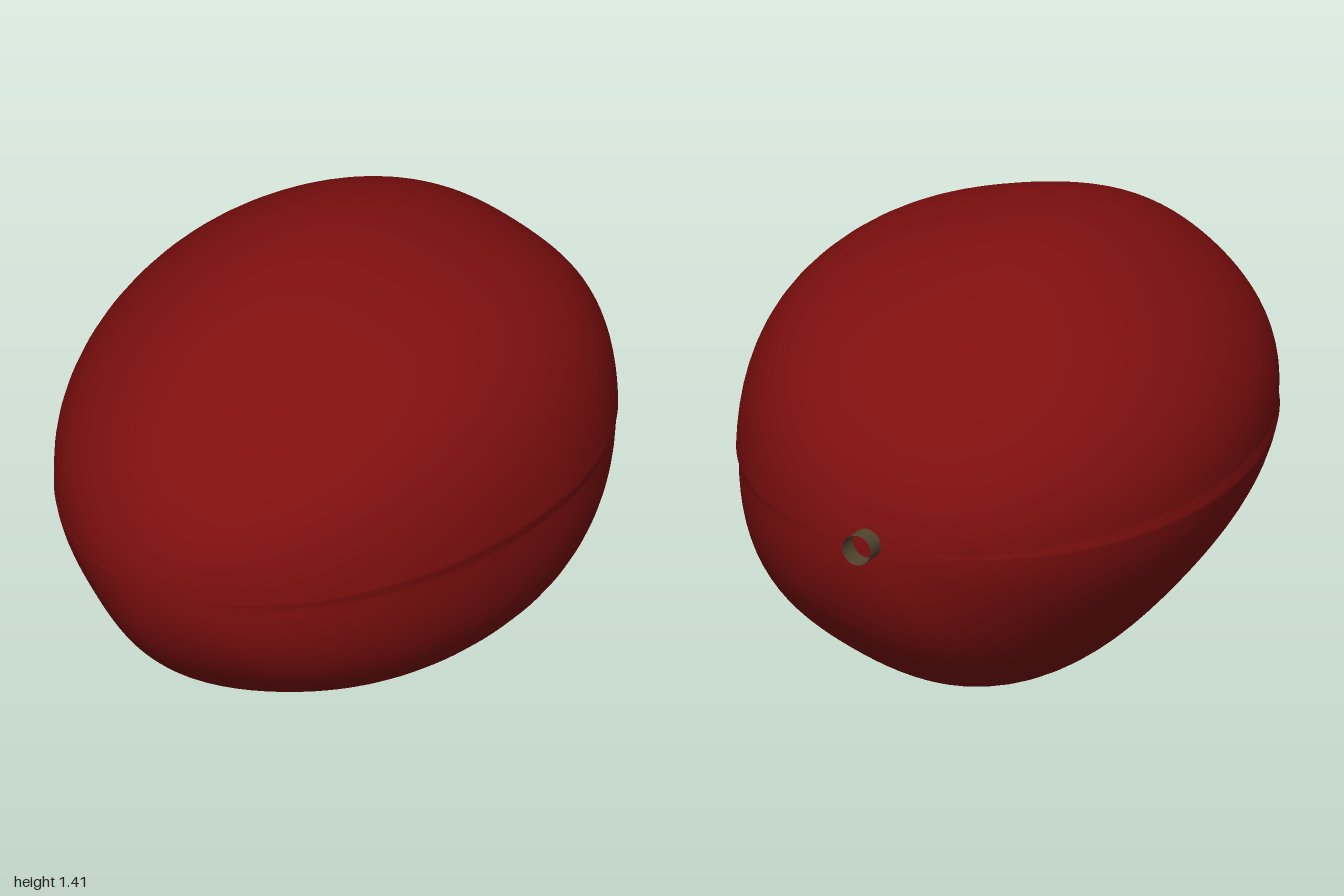
import * as THREE from 'three';
import { mergeVertices } from 'three/addons/utils/BufferGeometryUtils.js';

const CY = 0.72, FRONT = 1.0, BACK = 0.927;

// Widest cross-section, counter-clockwise from the +x side
const OUTLINE = [
  [0.76, 0.74], [0.755, 0.82], [0.7, 1.03], [0.59, 1.195], [0.41, 1.305], [0.21, 1.375], [-0.04, 1.41],
  [-0.22, 1.39], [-0.4, 1.315], [-0.605, 1.155], [-0.72, 0.97], [-0.763, 0.755],
  [-0.695, 0.55], [-0.565, 0.345], [-0.38, 0.137], [-0.22, 0.043], [-0.03, 0],
  [0.19, 0.035], [0.415, 0.13], [0.6, 0.25], [0.7, 0.395], [0.74, 0.56],
];

// Smooth radius as a function of angle: a few harmonics fitted to the outline
function makeRadius() {
  const curve = new THREE.CatmullRomCurve3(OUTLINE.map(([x, y]) => new THREE.Vector3(x, y - CY, 0)), true);
  const pts = curve.getPoints(600);
  const N = 6, A = new Array(N + 1).fill(0), B = new Array(N + 1).fill(0);
  for (let i = 0; i < 600; i++) {
    const p = pts[i], q = pts[i + 1];
    const da = Math.atan2(p.x * q.y - p.y * q.x, p.x * q.x + p.y * q.y);
    const mx = (p.x + q.x) / 2, my = (p.y + q.y) / 2;
    const a = Math.atan2(my, mx), r = Math.hypot(mx, my);
    for (let k = 0; k <= N; k++) {
      const w = (k ? 1 : 0.5) / Math.PI * r * da;
      A[k] += w * Math.cos(k * a);
      B[k] += w * Math.sin(k * a);
    }
  }
  return a => A.reduce((s, c, k) => s + c * Math.cos(k * a) + B[k] * Math.sin(k * a), 0);
}

function bodyGeometry() {
  const radius = makeRadius();
  // Angles around the z axis, with tight rows along the seam on both sides
  const angles = [];
  for (const start of [0, Math.PI]) {
    angles.push(start - 0.035, start - 0.018, start + 0.018, start + 0.035);
    for (let i = 1; i < 44; i++) angles.push(start + 0.035 + (Math.PI - 0.07) * i / 44);
  }
  const n = angles.length, rings = 72, pos = [], idx = [];
  for (let j = 0; j <= rings; j++) {
    const t = Math.PI * j / rings, c = Math.cos(t), s = j % rings ? Math.sin(t) : 0;
    for (const a of angles) {
      // The widest point sits further back on the lower +x side
      const mid = -0.03 * (1 + Math.cos(a + Math.PI / 4));
      const z = mid + c * (c > 0 ? FRONT - mid : BACK + mid);
      // The upper half slips slightly towards +x, leaving a fine ledge at the seam
      const slip = 0.005 * Math.sign(Math.sin(a)) * Math.pow(Math.cos(a), 2);
      const r = radius(a);
      pos.push(s * (r * Math.cos(a) + slip), CY + s * r * Math.sin(a), z);
    }
  }
  for (let j = 0; j < rings; j++) {
    for (let i = 0; i < n; i++) {
      const k = (i + 1) % n, a = j * n + i, b = j * n + k, c = a + n, d = b + n;
      if (j > 0) idx.push(a, c, b);
      if (j < rings - 1) idx.push(b, c, d);
    }
  }
  let geo = new THREE.BufferGeometry();
  geo.setAttribute('position', new THREE.Float32BufferAttribute(pos, 3));
  geo.setIndex(idx);
  geo = mergeVertices(geo, 1e-5);
  geo.computeVertexNormals();
  return geo;
}

export function createModel() {
  const red = new THREE.MeshStandardMaterial({ color: 0x800f0f });
  red.name = 'deepRed';
  const brown = new THREE.MeshStandardMaterial({ color: 0x54452f, side: THREE.DoubleSide });
  brown.name = 'stemBrown';

  const group = new THREE.Group();
  group.name = 'fruit';

  const body = new THREE.Mesh(bodyGeometry(), red);
  body.name = 'body';
  group.add(body);

  // Short hollow stem at the back, tilted slightly upwards
  const stem = new THREE.Mesh(new THREE.CylinderGeometry(0.047, 0.047, 0.09, 20, 1, true), brown);
  stem.name = 'stem';
  stem.rotation.x = -Math.PI / 2 + 0.08;
  stem.position.set(0.017, 0.737, -0.951);
  group.add(stem);

  return group;
}
